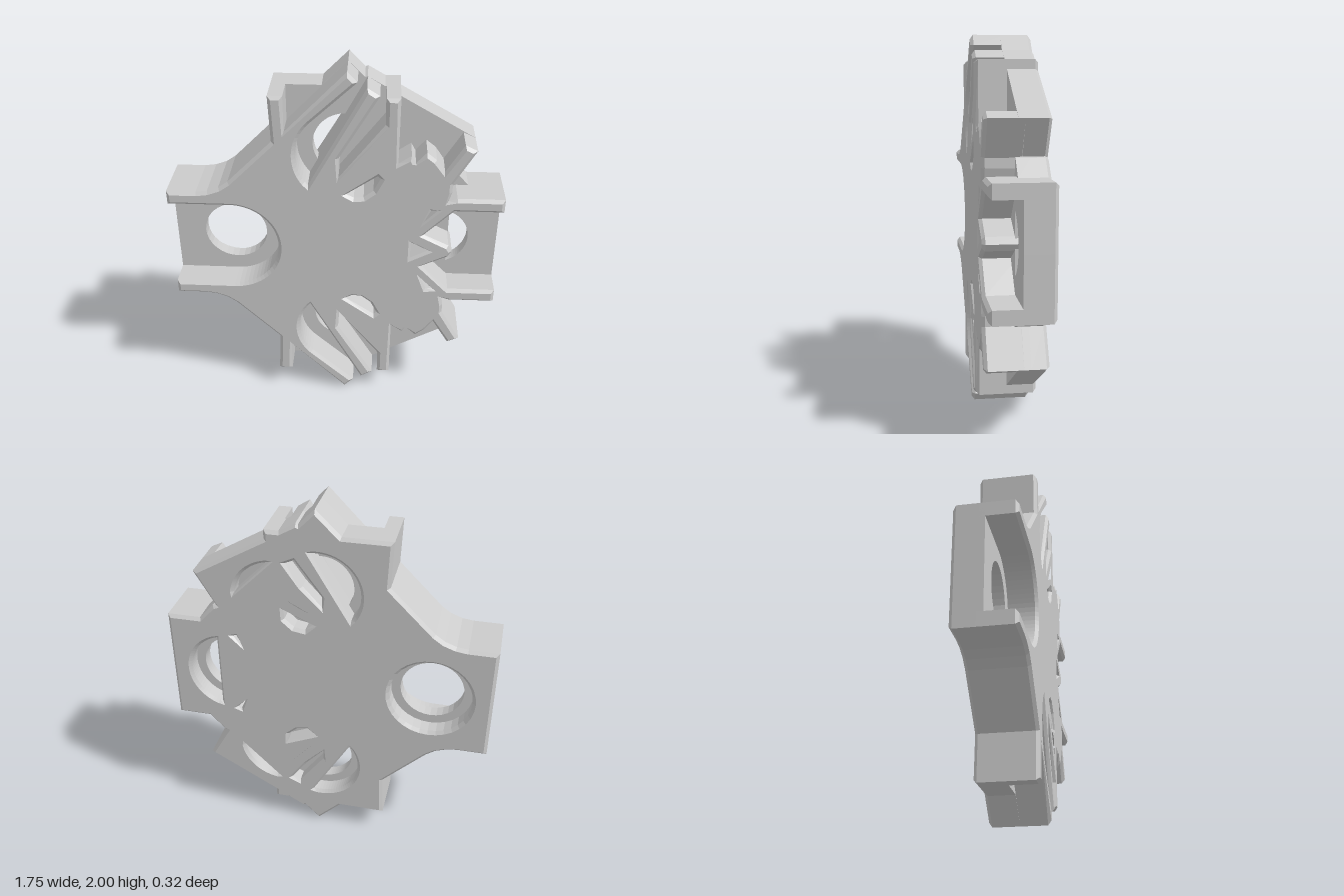
import * as THREE from 'three';

const BEVEL = 0.017;
const material = new THREE.MeshStandardMaterial({ color: 0xcccccc, flatShading: true });

// Points on an arc, angles in degrees
function arc(cx, cy, r, from, to, n = 16) {
  return Array.from({ length: n + 1 }, (_, i) => {
    const a = THREE.MathUtils.degToRad(from + (to - from) * i / n);
    return [cx + r * Math.cos(a), cy + r * Math.sin(a)];
  });
}

// Part of a disc lying beyond a chord at distance d from its centre
function segment(cx, cy, r, dir, d) {
  const half = THREE.MathUtils.radToDeg(Math.acos(d / r));
  return arc(cx, cy, r, dir - half, dir + half, 32);
}

const flip = (pts) => pts.map(([x, y]) => [x, -y]).reverse();
const path = (pts, Type = THREE.Path) => new Type(pts.map(([x, y]) => new THREE.Vector2(x, y)));

// Symmetrical plate: upper outline is mirrored, paired holes appear on both halves
function plate(name, upper, pairedHoles, centreHoles, z0, z1, bevelled) {
  const lower = flip(upper).filter(([, y]) => Math.abs(y) > 1e-6);
  const shape = path([...upper, ...lower], THREE.Shape);
  const holes = [...centreHoles, ...pairedHoles, ...pairedHoles.map(flip)];
  shape.holes = holes.map((h) => path(h));
  const b = bevelled ? BEVEL : 0;
  const geometry = new THREE.ExtrudeGeometry(shape, {
    depth: z1 - z0 - 2 * b, bevelEnabled: bevelled, bevelThickness: b,
    bevelSize: b, bevelOffset: -b, bevelSegments: 1, curveSegments: 1,
  });
  geometry.translate(0, 0, z0 + b);
  const mesh = new THREE.Mesh(geometry, material);
  mesh.name = name;
  return mesh;
}

export function createModel() {
  const group = new THREE.Group();
  group.name = 'hubPlate';

  // Flared shoulder from the left arm to the upper arm
  const shoulder = [[-0.875, 0.325], [-0.72, 0.325], [-0.66, 0.333], [-0.6, 0.355],
    [-0.55, 0.39], [-0.315, 0.625], [-0.325, 0.87]];

  // Full outline of the backing
  const backOutline = [
    [-0.875, 0], ...shoulder, [-0.07, 0.87], [0.06, 1], [0.143, 0.915], [0.156, 0.92],
    [0.243, 0.87], [0.32, 0.87], [0.32, 0.822], [0.708, 0.6], [0.6, 0.415],
    [0.617, 0.41], [0.695, 0.325], [0.875, 0.325], [0.875, 0],
  ];

  // Ribbed front: open sockets cut in from the rim
  const frontOutline = [
    ...arc(-0.55, 0, 0.25, 0, 90), [-0.875, 0.25], ...shoulder,
    [-0.25, 0.87], [-0.25, 0.68], [0.06, 1], [0.11, 0.947],
    ...arc(0.05, 0.55, 0.25, 135, 222), [0.156, 0.92], [0.22, 0.88],
    [0.02, 0.54], [0.02, 0.43], [0.25, 0.73], [0.25, 0.87], [0.32, 0.87],
    [0.32, 0.52], [0.385, 0.565], [0.41, 0.52], [0.39, 0.505],
    [0.46, 0.585], [0.51, 0.545], [0.555, 0.48], [0.645, 0.63], [0.708, 0.6],
    [0.6, 0.41], [0.6, 0.36], [0.585, 0.31], [0.63, 0.325],
    [0.875, 0.325], [0.875, 0.25], [0.62, 0.25], [0.47, 0.1], [0.605, 0.035], [0.625, 0],
  ];
  const frontPockets = [
    [[0.07, 0.41], [0.235, 0.62], [0.235, 0.49]],
    [[0.06, 0.335], [0.1, 0.315], [0.15, 0.32], [0.2, 0.36], [0.235, 0.43], [0.22, 0.445]],
    [[0.46, 0.17], [0.535, 0.25], [0.5, 0.25]],
  ];
  const frontCentrePocket = [[0.405, 0.05], [0.405, -0.05], [0.5, 0]];

  // Bolt holes cut off by the neighbouring ribs, with wider recesses behind
  const centreHoles = (r) => [segment(-0.55, 0, r, 0, -r), segment(0.55, 0, r, 0, 0.06)];
  const upperHole = (r) => segment(0.05, 0.55, r, 149.5, 0.078);
  const rearRecesses = [
    upperHole(0.22),
    segment(0.275, 0.476, 0.22, 45, 0.17),
    [[0.03, 0.47], [0.13, 0.58], [0.215, 0.7], [0.17, 0.72], [0.03, 0.53]],
    [[0.07, 0.41], [0.235, 0.61], [0.235, 0.49]],
    [[0.08, 0.36], [0.12, 0.325], [0.18, 0.335], [0.23, 0.38], [0.235, 0.43]],
    [[0.47, 0.18], [0.52, 0.235], [0.5, 0.24]],
  ];

  group.add(
    plate('frontRibs', frontOutline, frontPockets, [frontCentrePocket], -0.05, 0.16, true),
    plate('socketFloor', backOutline, [upperHole(0.17)], centreHoles(0.17), -0.07, 0, false),
    plate('rearPlate', backOutline, rearRecesses, centreHoles(0.22), -0.16, -0.05, true),
  );
  group.position.y = 1;
  const root = new THREE.Group();
  root.add(group);
  return root;
}
